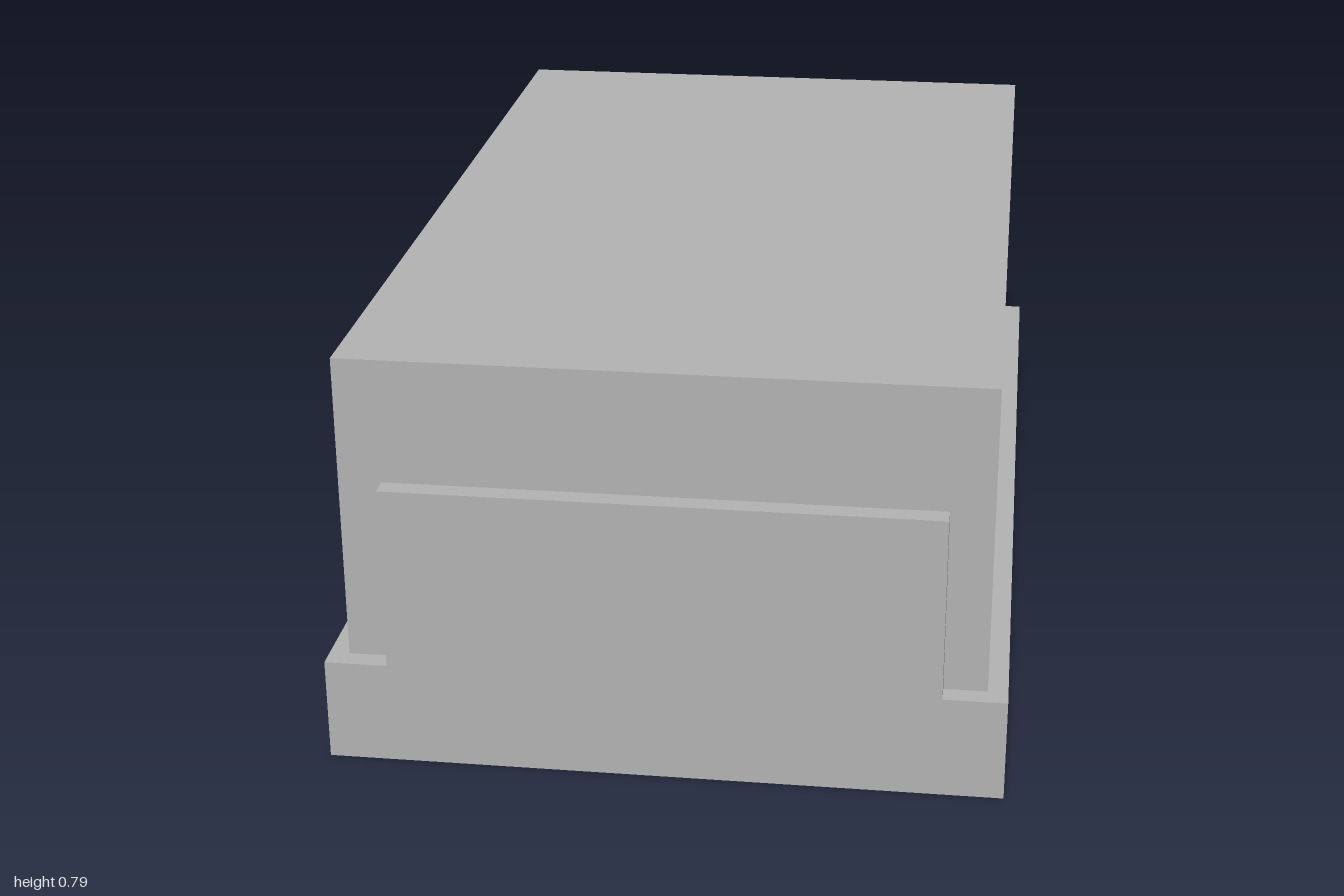
import * as THREE from 'three';

export function createModel() {
  const model = new THREE.Group();
  const grey = new THREE.MeshStandardMaterial({ color: 0xb2b2b2 });
  grey.name = 'grey';

  // Box given by its width, vertical range and depth range, centred on x = 0
  const addBox = (name, width, y0, y1, z0, z1) => {
    const mesh = new THREE.Mesh(new THREE.BoxGeometry(width, y1 - y0, z1 - z0), grey);
    mesh.name = name;
    mesh.position.set(0, (y0 + y1) / 2, (z0 + z1) / 2);
    model.add(mesh);
  };

  addBox('base', 1.25, 0, 0.197, -1, 1);
  addBox('body', 1.176, 0.197, 0.786, -0.961, 0.961);
  // Raised plate, flush with the front of the base
  addBox('frontPlate', 1.016, 0.197, 0.55, 0.961, 1);

  return model;
}
